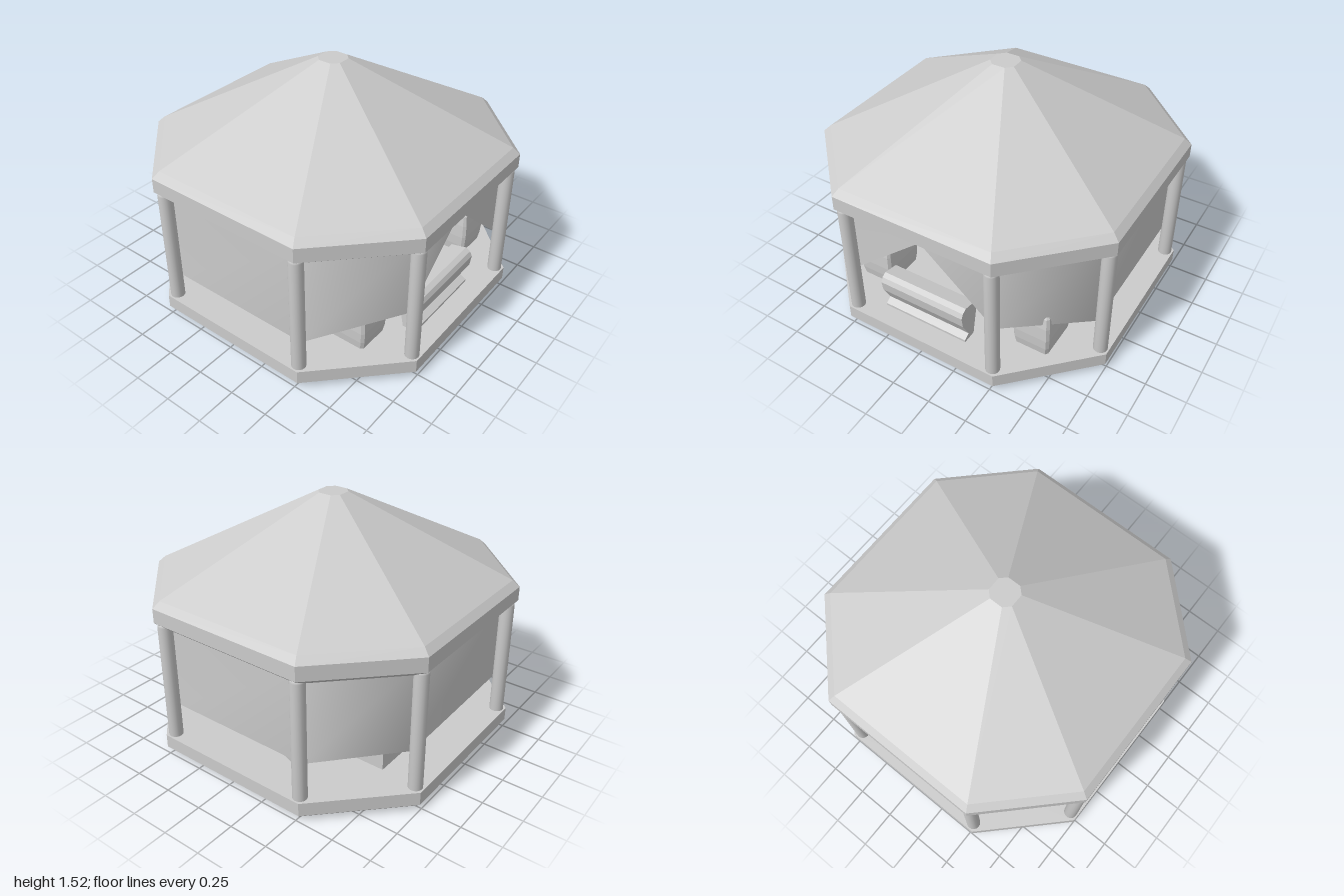
import * as THREE from 'three';

const grey = new THREE.MeshStandardMaterial({ color: 0xcccccc, flatShading: true });
const smooth = new THREE.MeshStandardMaterial({ color: 0xcccccc });
const cloth = new THREE.MeshStandardMaterial({ color: 0xcccccc, side: THREE.DoubleSide });

// eight corners running from the front around to the model's left (+x)
const octagon = (wide, side) => [
  [-side, wide], [side, wide], [wide, side], [wide, -side],
  [side, -wide], [-side, -wide], [-wide, -side], [-wide, side],
];

function add(parent, name, geometry, material, x = 0, y = 0, z = 0) {
  const mesh = new THREE.Mesh(geometry, material);
  mesh.name = name;
  mesh.position.set(x, y, z);
  parent.add(mesh);
  return mesh;
}

// stacks scaled copies of an outline ([scale, y] per level) and caps both ends
function loft(outline, levels) {
  const n = outline.length, pos = [], idx = [];
  for (const [s, y] of levels) for (const [x, z] of outline) pos.push(x * s, y, z * s);
  for (let l = 0; l < levels.length - 1; l++) {
    for (let i = 0; i < n; i++) {
      const a = l * n + i, b = l * n + (i + 1) % n;
      idx.push(a, b, b + n, a, b + n, a + n);
    }
  }
  const top = (levels.length - 1) * n;
  for (let i = 1; i < n - 1; i++) idx.push(0, i + 1, i, top, top + i, top + i + 1);
  const g = new THREE.BufferGeometry();
  g.setAttribute('position', new THREE.Float32BufferAttribute(pos, 3));
  g.setIndex(idx);
  const flat = g.toNonIndexed();
  flat.computeVertexNormals();
  return flat;
}

// cloth wall hanging between the posts, with a varying hem and a peaked doorway
function curtainGeometry() {
  const c = octagon(0.91, 0.48);
  const hem = [0.26, 0.26, 0.41, 0.41, 0.32, 0.32, 0.345, 0.36];
  const points = c.map(([x, z], i) => [x, z, hem[i]]);
  points.splice(3, 0, [0.91, 0, 0.82]);
  const pos = [], idx = [];
  for (const [x, z, h] of points) pos.push(x, h, z, x, 0.89, z);
  for (let i = 0; i < points.length; i++) {
    const a = 2 * i, b = 2 * ((i + 1) % points.length);
    idx.push(a, b, b + 1, a, b + 1, a + 1);
  }
  const g = new THREE.BufferGeometry();
  g.setAttribute('position', new THREE.Float32BufferAttribute(pos, 3));
  g.setIndex(idx);
  g.computeVertexNormals();
  return g;
}

// squat oblong stool with bulging sides and narrow chamfered corners
function stool(parent, x, z, angle) {
  const outline = octagon(1, 0.88).map(([px, pz]) => [px * 0.15, pz * 0.12]);
  const g = loft(outline, [
    [0.9, 0.12], [0.97, 0.18], [1, 0.25], [0.98, 0.34], [0.92, 0.41], [0.8, 0.44],
  ]);
  add(parent, 'stool', g, grey, x, 0, z).rotation.y = angle;
}

// open shelving standing against the right wall
function shelving() {
  const group = new THREE.Group();
  group.name = 'shelving';
  const back = -0.72, depth = 0.19, z0 = -0.48, z1 = 0.4, base = 0.125, top = 0.8;
  const mid = (z0 + z1) / 2, x = back + depth / 2, h = top - base;
  add(group, 'shelfBack', new THREE.BoxGeometry(0.035, h, z1 - z0), grey, back + 0.0175, base + h / 2, mid);
  for (const z of [z0 + 0.02, z1 - 0.02]) {
    add(group, 'shelfSide', new THREE.BoxGeometry(depth, h, 0.04), grey, x, base + h / 2, z);
  }
  for (const y of [0.29, 0.552, 0.785]) {
    add(group, 'shelf', new THREE.BoxGeometry(depth - 0.004, 0.034, z1 - z0 - 0.06), grey, x, y, mid);
  }
  return group;
}

// counter running along the doorway, its front leaning out over a narrow plinth
function counterGeometry() {
  const s = new THREE.Shape([
    [0.78, 0.12], [0.87, 0.12], [0.87, 0.14], [0.83, 0.165], [0.885, 0.27],
    [0.895, 0.34], [0.88, 0.37], [0.85, 0.387], [0.75, 0.365], [0.735, 0.34],
  ].map(([x, y]) => new THREE.Vector2(x, y)));
  return new THREE.ExtrudeGeometry(s, { depth: 0.58, bevelEnabled: false });
}

export function createModel() {
  const model = new THREE.Group();
  model.name = 'pavilion';
  const outline = octagon(1, 0.52);

  // floor, and a hollow roof running from its ceiling out round the rim to the peak
  add(model, 'floor', loft(outline, [[0.96, 0], [1, 0.04], [1, 0.125]]), grey);
  add(model, 'roof', loft(outline, [
    [0.06, 1.47], [0.915, 0.985], [0.915, 0.87], [0.955, 0.86],
    [1, 0.9], [1, 0.99], [0.96, 1.03], [0.08, 1.525],
  ]), grey);

  // posts with rounded tops
  const profile = [[0, 0.12], [0.0435, 0.12], [0.0435, 0.872], [0.037, 0.888], [0, 0.896]];
  const post = new THREE.LatheGeometry(profile.map(([r, y]) => new THREE.Vector2(r, y)), 20);
  for (const [x, z] of octagon(0.947, 0.49)) add(model, 'post', post, smooth, x, 0, z);

  add(model, 'curtain', curtainGeometry(), cloth);

  // furniture
  model.add(shelving());
  add(model, 'counter', counterGeometry(), grey, 0, 0, -0.25);
  stool(model, 0.57, 0.53, 0);
  stool(model, 0.57, -0.6, 0);
  stool(model, -0.2, -0.61, -0.3);
  return model;
}
